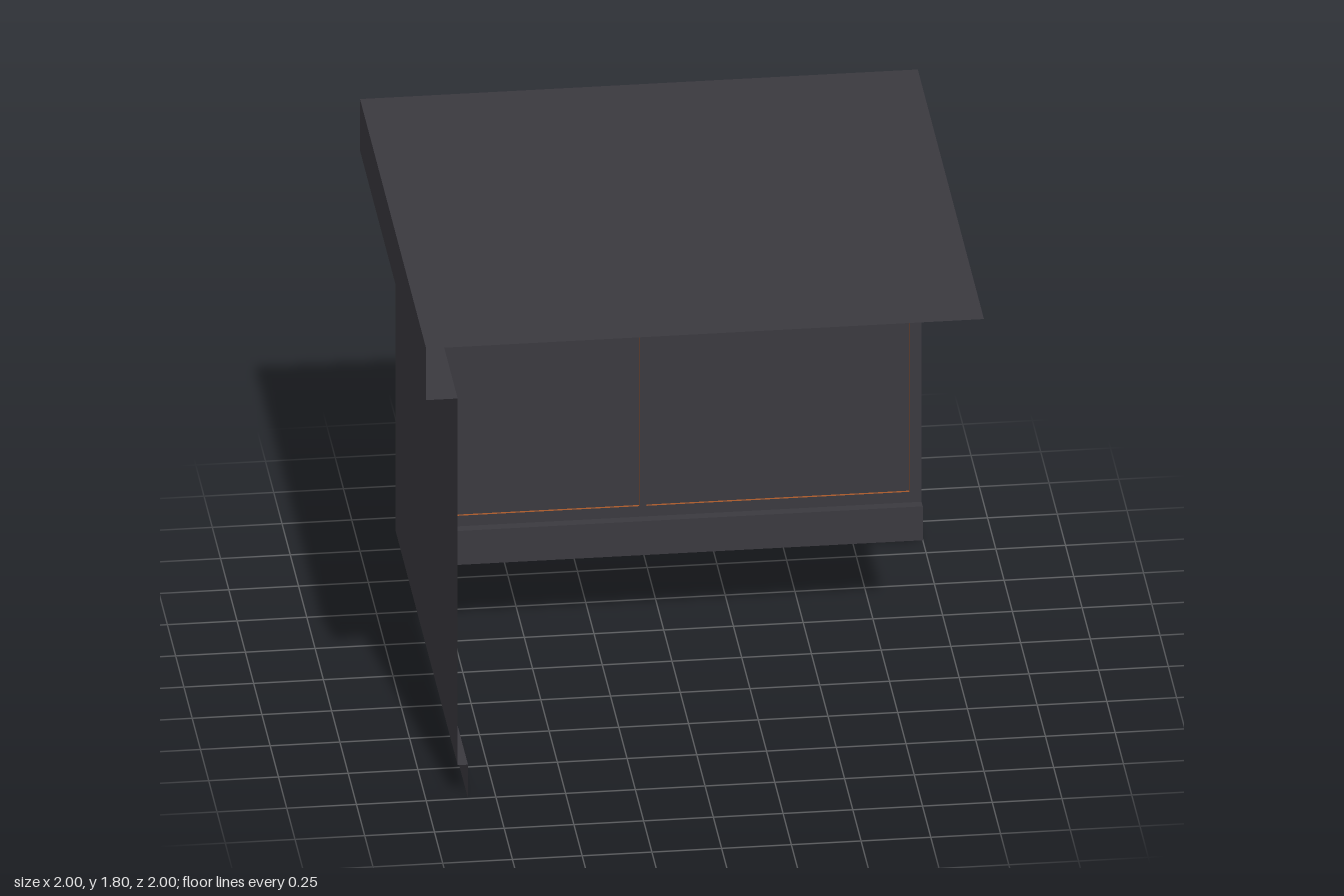
import * as THREE from 'three';

const charcoal = new THREE.MeshStandardMaterial({ name: 'charcoal', color: 0x3a393f, side: THREE.DoubleSide });
const wood = new THREE.MeshStandardMaterial({ name: 'wood', color: 0xa6582b, side: THREE.DoubleSide });
const darkMetal = new THREE.MeshStandardMaterial({ name: 'darkMetal', color: 0x2d3036 });

const WALL = 0.887;   // distance of the cabinet walls from the centre
const FACE = -0.917;  // z of the door fronts

// Sweeps a profile of [distance, height] round the L-shaped corner, open on +x and +z
function cornerShell(profile) {
  const pos = [];
  const path = ([d, y]) => [[-d, y, 1], [-d, y, -d], [1, y, -d]];
  for (let i = 0; i < profile.length - 1; i++) {
    const a = path(profile[i]), b = path(profile[i + 1]);
    for (let k = 0; k < 2; k++) {
      pos.push(...a[k + 1], ...b[k + 1], ...b[k], ...a[k + 1], ...b[k], ...a[k]);
    }
  }
  const geo = new THREE.BufferGeometry();
  geo.setAttribute('position', new THREE.Float32BufferAttribute(pos, 3));
  geo.computeVertexNormals();
  return geo;
}

// Panel box with no inner face, reaching slightly through the wall
function panelGeometry(x0, x1, y0, y1) {
  const depth = 0.04;
  const geo = new THREE.BoxGeometry(x1 - x0, y1 - y0, depth);
  const index = Array.from(geo.index.array);
  index.splice(24, 6);
  geo.setIndex(index);
  geo.clearGroups();
  geo.translate((x0 + x1) / 2, (y0 + y1) / 2, FACE + depth / 2);
  return geo;
}

// Upright bar handle with rounded corners, standing out towards -z
function handleGeometry() {
  const h = 0.146, out = 0.042, r = 0.035;
  const v = (y, z) => new THREE.Vector3(0, y, -z);
  const path = new THREE.CurvePath();
  path.add(new THREE.LineCurve3(v(-h, -0.005), v(-h, out - r)));
  path.add(new THREE.QuadraticBezierCurve3(v(-h, out - r), v(-h, out), v(-h + r, out)));
  path.add(new THREE.LineCurve3(v(-h + r, out), v(h - r, out)));
  path.add(new THREE.QuadraticBezierCurve3(v(h - r, out), v(h, out), v(h, out - r)));
  path.add(new THREE.LineCurve3(v(h, out - r), v(h, -0.005)));
  return new THREE.TubeGeometry(path, 48, 0.012, 8);
}

export function createModel() {
  const model = new THREE.Group();
  model.name = 'cornerCabinet';
  const add = (name, geo, mat) => {
    const mesh = new THREE.Mesh(geo, mat);
    mesh.name = name;
    model.add(mesh);
    return mesh;
  };

  // Worktop: flat top, thick edge and the overhang's underside
  const top = new THREE.PlaneGeometry(2, 2).rotateX(-Math.PI / 2).translate(0, 1.8, 0);
  add('worktop', top, charcoal);
  add('worktopEdge', cornerShell([[1, 1.8], [1, 1.595], [WALL, 1.595]]), charcoal);

  // Walls and the recessed plinth
  add('cabinetWalls', cornerShell([[WALL, 1.595], [WALL, 0.135]]), charcoal);
  add('plinth', cornerShell([[WALL, 0.135], [0.85, 0.135], [0.85, 0]]), charcoal);

  // A drawer above a door in each column, with handles
  const handle = handleGeometry();
  const columns = [
    { side: 'left', x0: 0.013, x1: 0.955, doorHandle: 0.086 },
    { side: 'right', x0: -0.842, x1: -0.013, doorHandle: -0.086 },
  ];
  for (const { side, x0, x1, doorHandle } of columns) {
    add(side + 'Drawer', panelGeometry(x0, x1, 1.225, 1.548), wood);
    add(side + 'Door', panelGeometry(x0, x1, 0.182, 1.2), wood);

    const drawerPull = add(side + 'DrawerHandle', handle, darkMetal);
    drawerPull.position.set((x0 + x1) / 2, 1.38, FACE);
    drawerPull.rotation.z = Math.PI / 2;

    add(side + 'DoorHandle', handle, darkMetal).position.set(doorHandle, 1.003, FACE);
  }
  return model;
}
